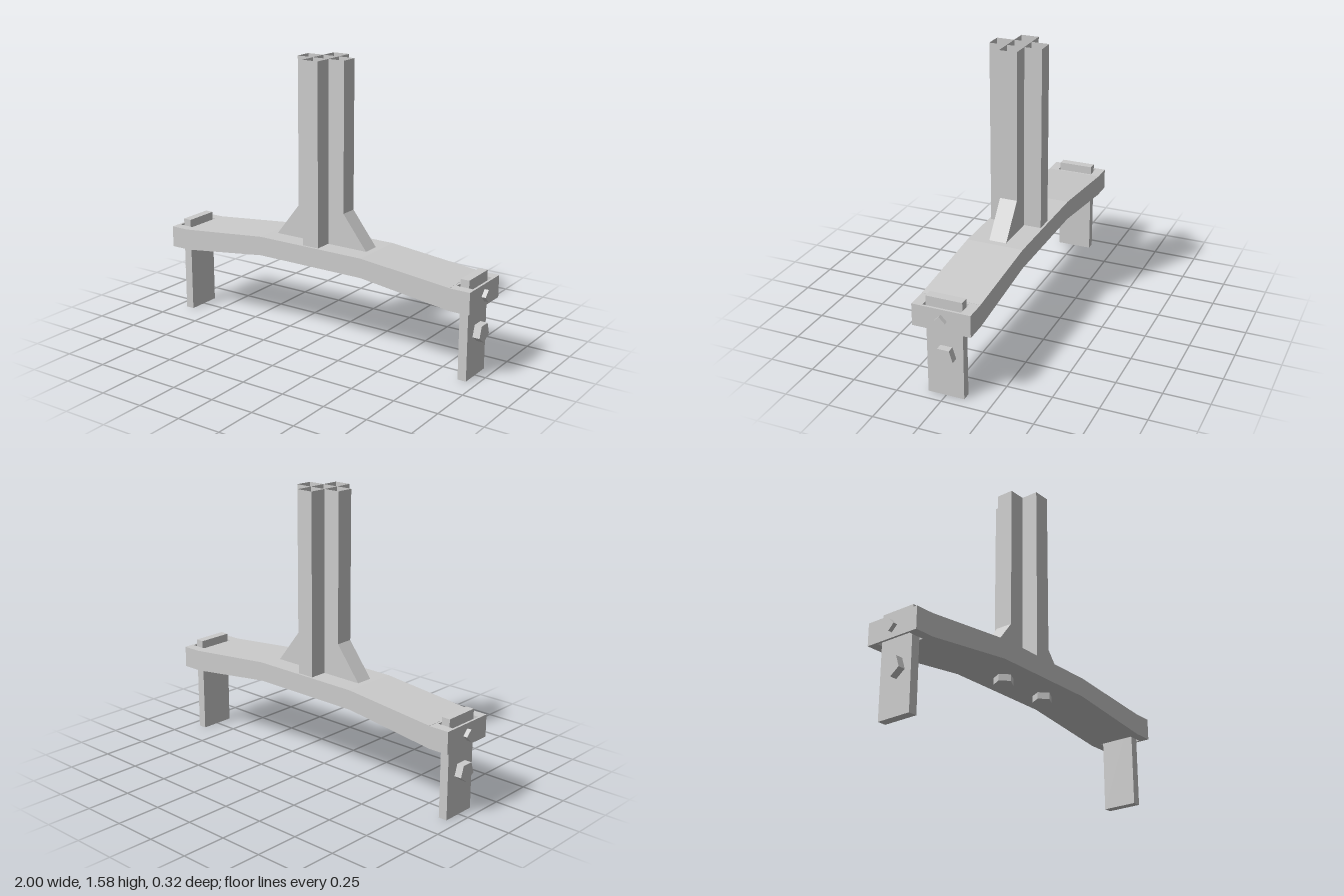
import * as THREE from 'three';

const grey = new THREE.MeshStandardMaterial({ color: 0xcccccc, flatShading: true });
const greyOpen = new THREE.MeshStandardMaterial({ color: 0xcccccc, flatShading: true, side: THREE.DoubleSide });

function add(parent, name, geometry, material = grey) {
  const mesh = new THREE.Mesh(geometry, material);
  mesh.name = name;
  parent.add(mesh);
  return mesh;
}

const polygon = (points) => new THREE.Shape(points.map(([x, y]) => new THREE.Vector2(x, y)));

// Extrusion of an xy outline, centred on z = 0
function slab(points, depth) {
  return new THREE.ExtrudeGeometry(polygon(points), { depth, bevelEnabled: false }).translate(0, 0, -depth / 2);
}

// Few-sided bolt lying along x from x0 to x1, with one corner pointing down
function sideBolt(radius, sides, x0, x1, y, z) {
  return new THREE.CylinderGeometry(radius, radius, x1 - x0, sides, 1, false, Math.PI / 2)
    .rotateZ(-Math.PI / 2)
    .translate((x0 + x1) / 2, y, z);
}

export function createModel() {
  const model = new THREE.Group();
  model.name = 'pedestalStand';

  // Arched beam: level in the middle, sloping down to both ends
  add(model, 'beam', slab([
    [-0.86, 0.39], [-0.33, 0.457], [0.33, 0.457], [0.86, 0.39],
    [0.86, 0.512], [0.33, 0.565], [-0.33, 0.565], [-0.86, 0.512],
  ], 0.32));

  // Cross-shaped column: two open rectangular tubes through each other
  const bottom = 0.562, top = 1.577;
  for (const [name, w, d] of [['columnTubeWide', 0.295, 0.098], ['columnTubeDeep', 0.098, 0.295]]) {
    const tube = new THREE.CylinderGeometry(Math.SQRT1_2, Math.SQRT1_2, 1, 4, 1, true, Math.PI / 4)
      .scale(w, top - bottom, d)
      .translate(0, (top + bottom) / 2, 0);
    add(model, name, tube, greyOpen);
  }

  // Each end carries a slotted block, a leg, two bolts and a gusset
  for (const [side, turn] of [['left', 0], ['right', Math.PI]]) {
    const end = new THREE.Group();
    end.name = side + 'End';
    end.rotation.y = turn;
    model.add(end);

    // Beam end with a vertical slot for the leg
    const outline = polygon([[0.86, -0.16], [0.976, -0.16], [0.976, 0.16], [0.86, 0.16]]);
    outline.holes.push(polygon([[0.873, -0.105], [0.873, 0.105], [0.963, 0.105], [0.963, -0.105]]));
    const block = new THREE.ExtrudeGeometry(outline, { depth: 0.121, bevelEnabled: false })
      .rotateX(-Math.PI / 2)
      .translate(0, 0.39, 0);
    add(end, side + 'SlottedBeamEnd', block);

    add(end, side + 'Leg', new THREE.BoxGeometry(0.049, 0.55, 0.2).translate(0.915, 0.275, 0));
    add(end, side + 'LockingPin', sideBolt(0.033, 4, 0.88, 1, 0.45, 0));
    add(end, side + 'LegBolt', sideBolt(0.055, 5, 0.93, 0.98, 0.243, -0.008));

    // Sloping gusset between column and beam
    add(end, side + 'Gusset', slab([[0.147, 0.562], [0.295, 0.562], [0.147, 0.752]], 0.098));
  }

  // Bolt heads under the beam
  for (const x of [-0.145, 0.183]) {
    const head = new THREE.CylinderGeometry(0.055, 0.055, 0.05, 5, 1, false, -0.14);
    add(model, 'underBolt', head.translate(x, 0.445, 0));
  }
  return model;
}
